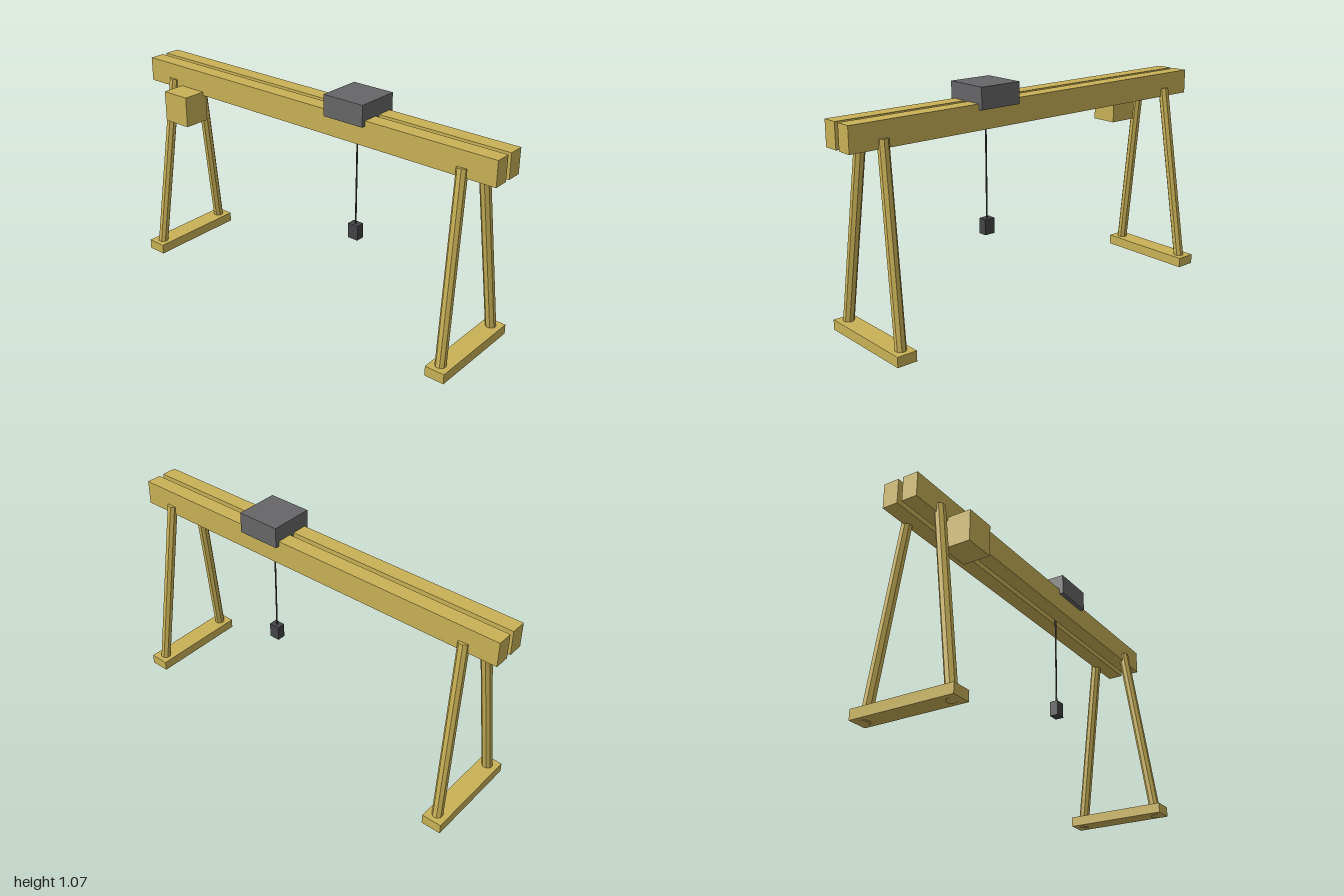
import * as THREE from 'three';

const material = (name, color) => {
  const m = new THREE.MeshStandardMaterial({ color });
  m.name = name;
  return m;
};

export function createModel() {
  const crane = new THREE.Group();
  crane.name = 'gantryCrane';
  const yellow = material('craneYellow', 0xc9b156);
  const grey = material('trolleyGrey', 0x666668);
  const dark = material('hoistDark', 0x444446);

  const add = (name, geometry, mat) => {
    const mesh = new THREE.Mesh(geometry, mat);
    mesh.name = name;
    crane.add(mesh);
    return mesh;
  };

  // Box given by its extents on each axis
  const box = (name, mat, [x0, x1], [y0, y1], [z0, z1]) =>
    add(name, new THREE.BoxGeometry(x1 - x0, y1 - y0, z1 - z0), mat)
      .position.set((x0 + x1) / 2, (y0 + y1) / 2, (z0 + z1) / 2);

  // Faceted bar between two points
  const bar = (name, mat, from, to, radius) => {
    const axis = to.clone().sub(from);
    const geometry = new THREE.CylinderGeometry(radius, radius, axis.length(), 8)
      .rotateY(Math.PI / 8).toNonIndexed();
    geometry.computeVertexNormals();
    const mesh = add(name, geometry, mat);
    mesh.position.copy(from).add(to).multiplyScalar(0.5);
    mesh.quaternion.setFromUnitVectors(new THREE.Vector3(0, 1, 0), axis.normalize());
  };

  // Twin girders
  box('frontGirder', yellow, [-1, 1], [0.88, 0.997], [0.012, 0.087]);
  box('backGirder', yellow, [-1, 1], [0.88, 0.997], [-0.087, -0.012]);

  // Splayed legs on a foot beam at each end
  for (const [side, sx] of [['left', 1], ['right', -1]]) {
    box(side + 'FootBeam', yellow, [sx * 0.874 - 0.048, sx * 0.874 + 0.048], [0.005, 0.053], [-0.25, 0.25]);
    for (const [end, sz] of [['Front', 1], ['Back', -1]]) {
      bar(side + end + 'Leg', yellow,
        new THREE.Vector3(sx * 0.875, 0.003, sz * 0.209),
        new THREE.Vector3(sx * 0.84, 0.921, sz * 0.083), 0.0255);
    }
  }

  // Operator cab under the front girder
  box('cab', yellow, [-0.785, -0.637], [0.748, 0.897], [0.067, 0.2]);

  // Trolley with hoist cable and hook block
  box('trolley', grey, [0.141, 0.354], [0.972, 1.072], [-0.107, 0.107]);
  bar('hoistCable', dark, new THREE.Vector3(0.248, 0.43, 0), new THREE.Vector3(0.248, 0.98, 0), 0.004);
  box('hookBlock', dark, [0.221, 0.275], [0.37, 0.443], [-0.021, 0.021]);

  return crane;
}
